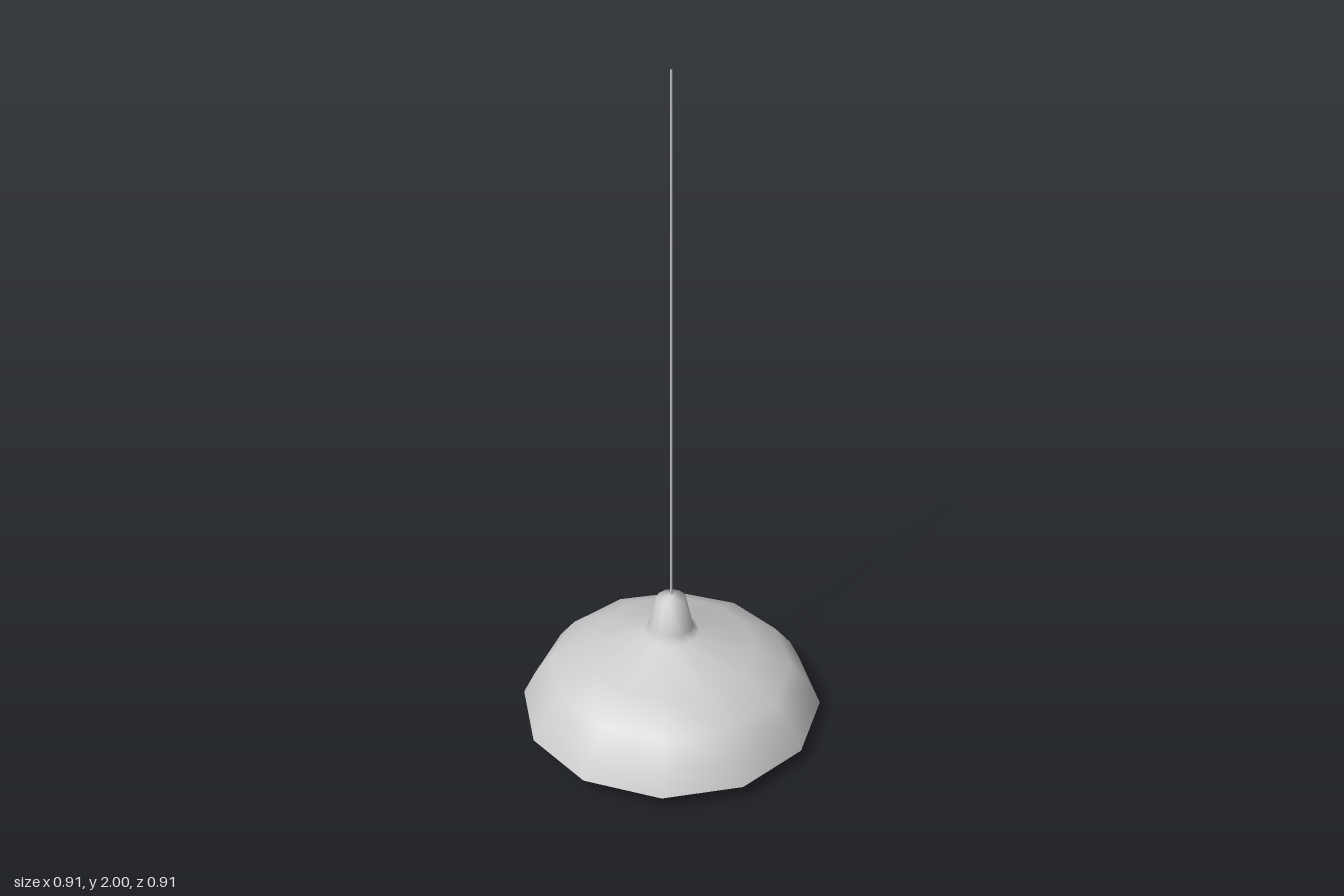
import * as THREE from 'three';

const SIDES = 12;

export function createModel() {
  const group = new THREE.Group();
  const material = new THREE.MeshStandardMaterial({ color: 0xcccccc });

  const add = (name, geometry, y = 0) => {
    const mesh = new THREE.Mesh(geometry, material);
    mesh.name = name;
    mesh.position.y = y;
    group.add(mesh);
  };
  // Profiles run upwards for outward faces, downwards for inward faces
  const lathe = (profile) =>
    new THREE.LatheGeometry(profile.map(([r, y]) => new THREE.Vector2(r, y)), SIDES);

  // Outer skin of the shade, from the rim to the top of the neck
  add('shadeOuter', lathe([
    [0.457, 0.05], [0.422, 0.12], [0.367, 0.188], [0.26, 0.243],
    [0.085, 0.302], [0.066, 0.325], [0.045, 0.42], [0, 0.434],
  ]));

  // Inner skin, slightly inset
  add('shadeInner', lathe([
    [0, 0.296], [0.085, 0.29], [0.256, 0.232], [0.36, 0.178],
    [0.411, 0.115], [0.445, 0.05],
  ]));

  // Narrow flat lip joining the two skins
  add('shadeRim', lathe([[0.445, 0.05], [0.457, 0.05]]));

  // Round bulb with its neck running up into the shade
  add('bulb', new THREE.SphereGeometry(0.132, SIDES, 6), 0.132);
  add('bulbSocket', new THREE.CylinderGeometry(0.05, 0.06, 0.08, SIDES, 1, true), 0.265);

  // Hanging cord
  add('cord', new THREE.CylinderGeometry(0.003, 0.003, 1.57, 8), 1.215);

  return group;
}
